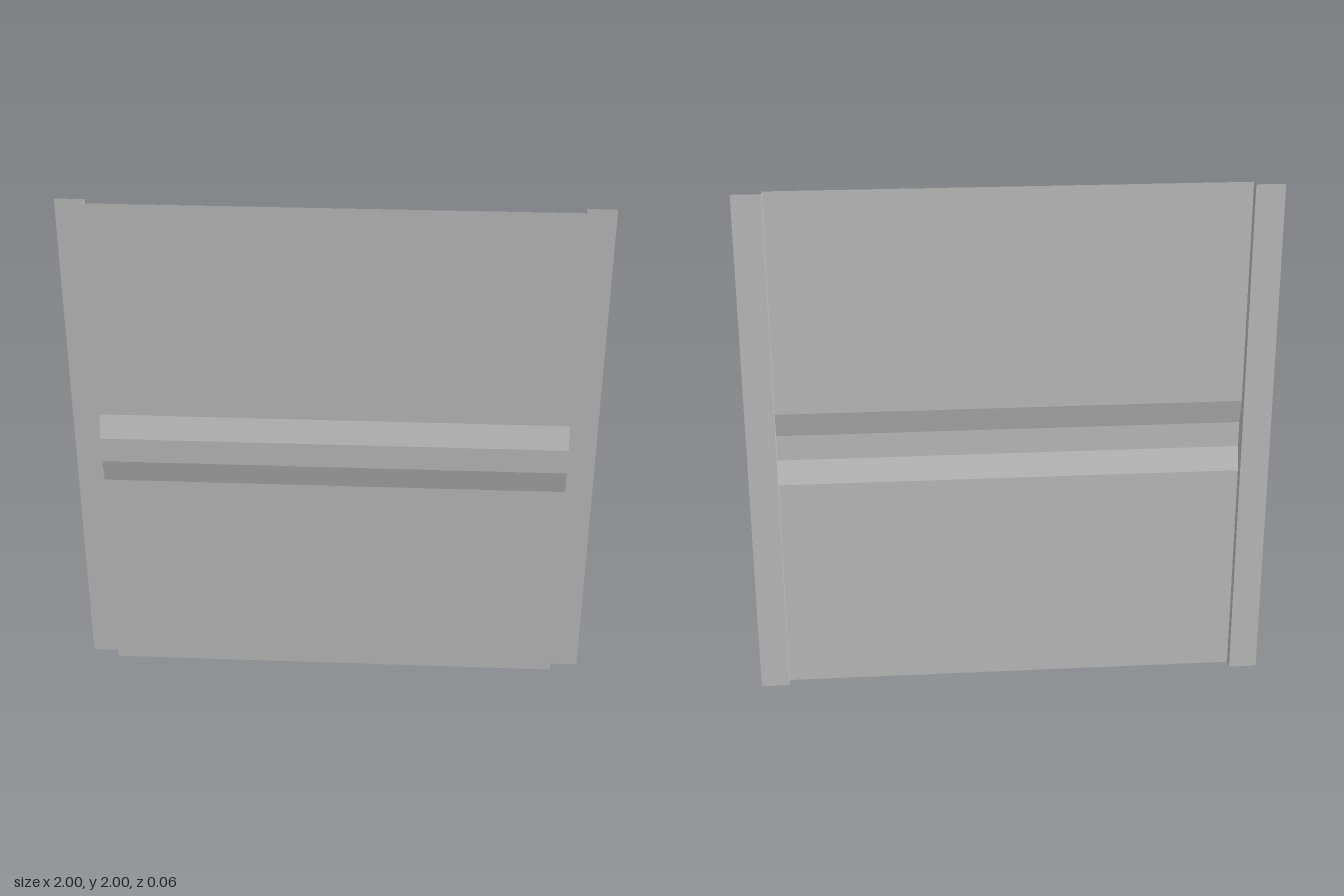
import * as THREE from 'three';

const HALF = 0.89;      // half width of the raised panel
const BACK = -0.03;     // plane of the side flanges
// Panel profile from top to bottom: [z, y]
const PROFILE = [[0.01, 2], [0.01, 1.145], [0.03, 1.05], [0.03, 0.95], [0.01, 0.855], [0.01, 0]];

export function createModel() {
  const group = new THREE.Group();
  const material = new THREE.MeshStandardMaterial({
    color: 0xcccccc, flatShading: true, side: THREE.DoubleSide,
  });
  const add = (name, geometry) => {
    geometry.computeVertexNormals();
    const mesh = new THREE.Mesh(geometry, material);
    mesh.name = name;
    group.add(mesh);
    return mesh;
  };

  // Sheet panel with a pressed horizontal ridge
  const panel = new THREE.PlaneGeometry(2 * HALF, 2, 1, PROFILE.length - 1);
  const pos = panel.attributes.position;
  for (let i = 0; i < pos.count; i++) {
    const [z, y] = PROFILE[Math.floor(i / 2)];
    pos.setY(i, y);
    pos.setZ(i, z);
  }
  add('ridgedPanel', panel);

  for (const [side, label] of [[1, 'left'], [-1, 'right']]) {
    // Return wall that follows the panel profile
    const outline = [[BACK, 2], [BACK, 0], ...PROFILE.slice().reverse()];
    const shape = new THREE.Shape(outline.map(([z, y]) => new THREE.Vector2(side * -z, y)));
    const wall = new THREE.ShapeGeometry(shape);
    wall.rotateY(side * Math.PI / 2);
    wall.translate(side * HALF, 0, 0);
    add(label + 'ReturnWall', wall);

    // Flat mounting flange
    const flange = new THREE.PlaneGeometry(1 - HALF, 2);
    flange.translate(side * (1 + HALF) / 2, 1, BACK);
    add(label + 'Flange', flange);
  }
  return group;
}
